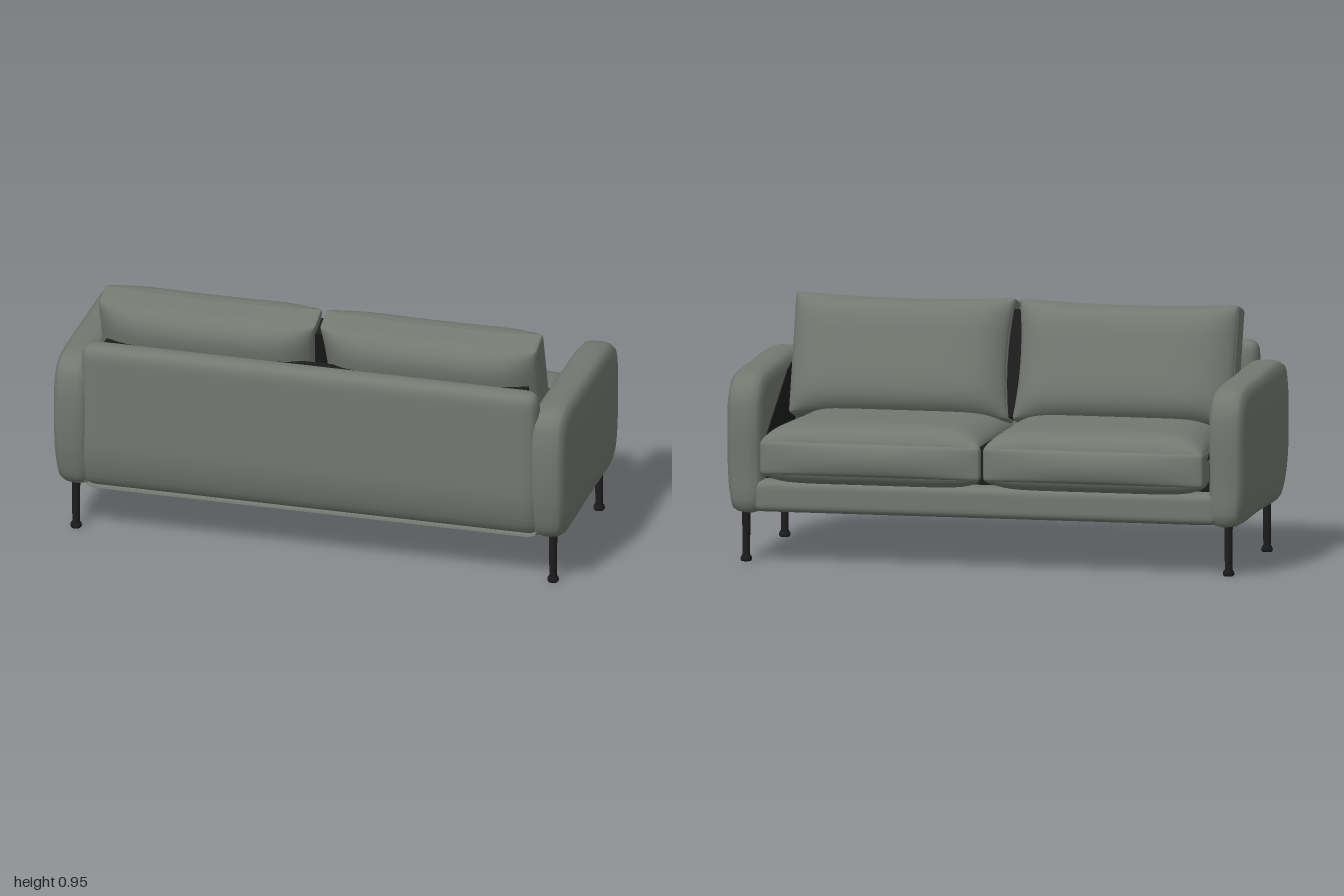
import * as THREE from 'three';
import { mergeVertices } from 'three/addons/utils/BufferGeometryUtils.js';

const fabric = new THREE.MeshStandardMaterial({ color: 0x747871 });
fabric.name = 'grey fabric';
const dark = new THREE.MeshStandardMaterial({ color: 0x1b1c1b });
dark.name = 'dark metal and lining';

function part(name, geometry, material, x = 0, y = 0, z = 0) {
  const mesh = new THREE.Mesh(geometry, material);
  mesh.name = name;
  mesh.position.set(x, y, z);
  return mesh;
}

// Rounded box with vertices packed near the edges; warp(p, n) reshapes it
function softBox(w, h, d, r, warp) {
  const geo = new THREE.BoxGeometry(2, 2, 2, 28, 20, 20);
  geo.deleteAttribute('normal');
  geo.deleteAttribute('uv');
  const half = new THREE.Vector3(w / 2, h / 2, d / 2);
  const core = half.clone().subScalar(r);
  const low = core.clone().negate();
  const pos = geo.attributes.position;
  const n = new THREE.Vector3(), p = new THREE.Vector3(), inner = new THREE.Vector3();
  const pack = (a) => Math.sin(a * Math.PI / 2);
  for (let i = 0; i < pos.count; i++) {
    n.fromBufferAttribute(pos, i);
    n.set(pack(n.x), pack(n.y), pack(n.z));
    p.copy(n).multiply(half);
    inner.copy(p).clamp(low, core);
    p.sub(inner).normalize().multiplyScalar(r).add(inner);
    if (warp) warp(p, n);
    pos.setXYZ(i, p.x, p.y, p.z);
  }
  const merged = mergeVertices(geo, 1e-5);
  merged.computeVertexNormals();
  return merged;
}

// Arm: side outline (z, y) swept through rings of [x, inset]
const armOutline = new THREE.CatmullRomCurve3([
  [-0.355, 0.19], [0, 0.19], [0.36, 0.196], [0.4, 0.215], [0.435, 0.32], [0.453, 0.48],
  [0.447, 0.62], [0.425, 0.69], [0.37, 0.721], [0.2, 0.725], [0, 0.718], [-0.25, 0.708],
  [-0.33, 0.69], [-0.372, 0.64], [-0.387, 0.55], [-0.38, 0.35], [-0.372, 0.21],
].map(([z, y]) => new THREE.Vector3(0, y, z)), true).getSpacedPoints(96).slice(0, 96);

const armRings = [
  [1, 1], [0.998, 0.12], [0.993, 0.045], [0.984, 0.014], [0.967, 0.004], [0.94, 0],
  [0.9, 0], [0.876, 0.006], [0.861, 0.022], [0.855, 0.05], [0.855, 1],
];

function armGeometry(side) {
  const cy = 0.455, cz = 0.033, hy = 0.267, hz = 0.42;
  const verts = [], index = [], N = armOutline.length;
  armRings.forEach(([x, inset], i) => {
    const sy = inset === 1 ? 0 : 1 - inset / hy;
    const sz = inset === 1 ? 0 : 1 - inset / hz;
    armOutline.forEach((p, j) => {
      const y = cy + (p.y - cy) * sy;
      // the outer face tucks in towards the floor
      const tuck = x > 0.93 ? 0.014 * Math.max(0, (0.4 - y) / 0.2) ** 2 : 0;
      verts.push(side * (x - tuck), y, cz + (p.z - cz) * sz);
      if (i === armRings.length - 1) return;
      const a = i * N + j, b = i * N + (j + 1) % N, c = a + N, d = b + N;
      if (side > 0) index.push(a, b, c, b, d, c);
      else index.push(a, c, b, b, c, d);
    });
  });
  const geo = new THREE.BufferGeometry();
  geo.setAttribute('position', new THREE.Float32BufferAttribute(verts, 3));
  geo.setIndex(index);
  geo.computeVertexNormals();
  return geo;
}

const dome = (u, v, k) => (1 - Math.abs(u) ** k) * (1 - Math.abs(v) ** k);

// Seat cushion: crowned top, bulging front, narrower at the back on its outer side
function seatCushion(side) {
  return softBox(0.846, 0.135, 0.63, 0.018, (p, n) => {
    p.y += n.y * (n.y > 0 ? 0.062 : 0.04) * dome(n.x, n.z, 8);
    if (n.z < 0) p.z += n.z * 0.022 * dome(n.x, n.y, 2);
    const outer = Math.max(0, n.x * side);
    p.x -= side * outer * 0.045 * THREE.MathUtils.smoothstep(n.z, -0.9, 0.6);
  });
}

// Back cushion: thin at the seams, puffed front and rear, dipped top edge
function backCushion(side) {
  return softBox(0.845, 0.465, 0.112, 0.016, (p, n) => {
    p.z += n.z * (n.z < 0 ? 0.085 : 0.072) * dome(n.x, n.y, 6);
    if (n.y > 0) p.y -= 0.014 * n.y * (1 - n.x * n.x);
    const inner = Math.max(0, -n.x * side);
    p.x += side * inner ** 4 * 0.018 * (1 - n.y * n.y);
  });
}

export function createModel() {
  const sofa = new THREE.Group();
  sofa.name = 'sofa';

  // Frame
  sofa.add(part('seatBase', softBox(1.78, 0.12, 0.76, 0.03), fabric, 0, 0.252, 0.005));
  sofa.add(part('backPanel', softBox(1.77, 0.6, 0.104, 0.048, (p, n) => {
    const y = p.y + 0.495;
    if (n.z > 0) p.z -= n.z * 0.05 * Math.max(0, (0.4 - y) / 0.2) ** 2;
  }), fabric, 0, 0.495, 0.394));

  // Dark lining in the gaps around the cushions
  sofa.add(part('seatLining', new THREE.BoxGeometry(1.71, 0.12, 0.64), dark, 0, 0.36, 0.02));
  sofa.add(part('backLining', new THREE.BoxGeometry(1.64, 0.27, 0.05), dark, 0, 0.635, 0.32));
  sofa.add(part('seatGapLining', new THREE.BoxGeometry(0.03, 0.14, 0.6), dark, 0, 0.4, -0.11));
  const gap = part('backGapLining', new THREE.BoxGeometry(0.05, 0.41, 0.09), dark, 0, 0.7, 0.18);
  gap.rotation.x = 0.295;
  sofa.add(gap);

  const legProfile = [[0, 0], [0.018, 0], [0.022, 0.007], [0.02, 0.017], [0.014, 0.025], [0.016, 0.2]]
    .map(([r, y]) => new THREE.Vector2(r, y));
  const legGeometry = new THREE.LatheGeometry(legProfile, 20);

  for (const side of [1, -1]) {
    const label = side > 0 ? 'left' : 'right';
    sofa.add(part(label + 'Arm', armGeometry(side), fabric));

    // Shaded lining on the inner arm, behind the cushions
    const tri = new THREE.Shape([
      new THREE.Vector2(0.36, 0.44), new THREE.Vector2(-0.2, 0.44),
      new THREE.Vector2(-0.13, 0.69), new THREE.Vector2(-0.06, 0.67),
    ]);
    const lining = part(label + 'ArmLining',
      new THREE.ExtrudeGeometry(tri, { depth: 0.004, bevelEnabled: false }), dark,
      side > 0 ? 0.8505 : -0.8545);
    lining.rotation.y = Math.PI / 2;
    sofa.add(lining);

    // Cushions
    sofa.add(part(label + 'SeatCushion', seatCushion(side), fabric, side * 0.428, 0.407, -0.118));
    const back = part(label + 'BackCushion', backCushion(side), fabric, side * 0.428, 0.714, 0.183);
    back.rotation.x = 0.295;
    sofa.add(back);

    // Legs
    sofa.add(part(label + 'FrontLeg', legGeometry, dark, side * 0.925, 0, -0.32));
    sofa.add(part(label + 'RearLeg', legGeometry, dark, side * 0.925, 0, 0.34));
  }
  return sofa;
}
